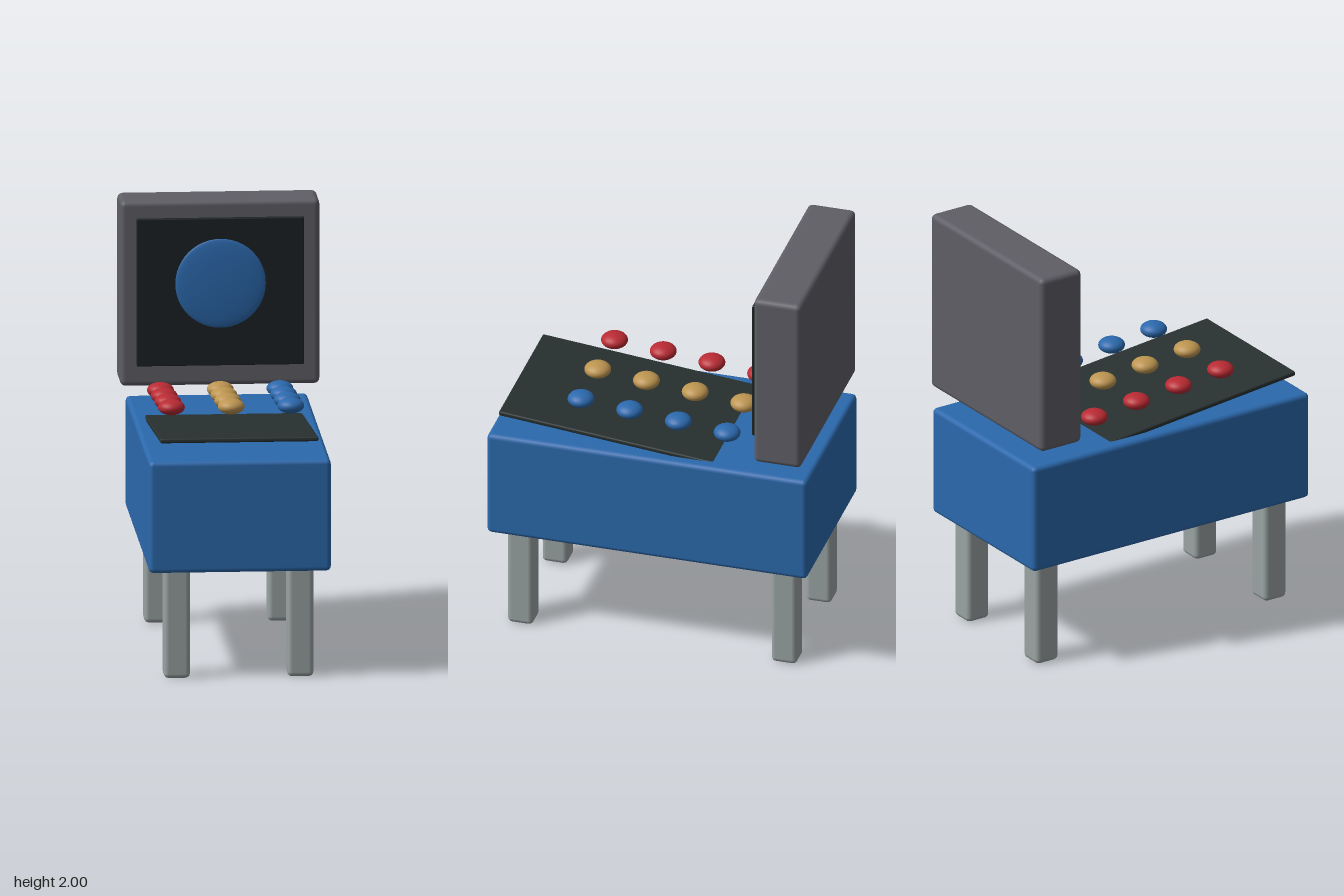
import * as THREE from 'three';
import { RoundedBoxGeometry } from 'three/addons/geometries/RoundedBoxGeometry.js';

const paint = (color) => new THREE.MeshStandardMaterial({ color });

export function createModel() {
  const model = new THREE.Group();
  const blue = paint(0x2b69ad);
  const red = paint(0xb92a33);
  const gold = paint(0xbd9550);
  const frameGrey = paint(0x5f5e66);
  const screenBlack = paint(0x1b2123);
  const panelDark = paint(0x283030);
  const legGrey = paint(0x9aa3a3);

  const add = (name, geometry, material, x, y, z) => {
    const mesh = new THREE.Mesh(geometry, material);
    mesh.name = name;
    mesh.position.set(x, y, z);
    model.add(mesh);
    return mesh;
  };
  const box = (w, h, d, r) => new RoundedBoxGeometry(w, h, d, 2, r);

  // Cabinet body
  add('cabinet', box(0.84, 0.525, 1.535, 0.022), blue, 0, 0.778, 0);

  // Four legs, running slightly up into the cabinet
  const leg = box(0.12, 0.56, 0.122, 0.022);
  for (const x of [-0.285, 0.285]) {
    for (const z of [-0.635, 0.63]) add('leg', leg, legGrey, x, 0.285, z);
  }

  // Sloping control panel, its rear end sunk into the cabinet
  const panel = add('controlPanel', box(0.73, 0.022, 1.43, 0.008), panelDark, 0, 1.0605, 0.014);
  panel.rotation.x = -0.098;

  // Upright display: housing, screen and shallow dome
  add('displayHousing', box(0.92, 0.87, 0.228, 0.025), frameGrey, 0, 1.565, -0.637);
  add('screen', box(0.772, 0.692, 0.024, 0.005), screenBlack, 0, 1.575, -0.508);
  const dome = add('screenDome', new THREE.SphereGeometry(1, 40, 24), blue, 0, 1.617, -0.488);
  dome.scale.set(0.209, 0.209, 0.018);

  // Flattened buttons: three coloured columns of four, rising to the front
  const button = new THREE.SphereGeometry(1, 32, 18);
  const columns = [[-0.288, red], [-0.012, gold], [0.263, blue]];
  for (const [x, material] of columns) {
    for (let row = 0; row < 4; row++) {
      const mesh = add('button', button, material, x, 1.15 + row * 0.0213, -0.341 + row * 0.2335);
      mesh.scale.set(0.062, 0.036, 0.062);
    }
  }
  return model;
}
